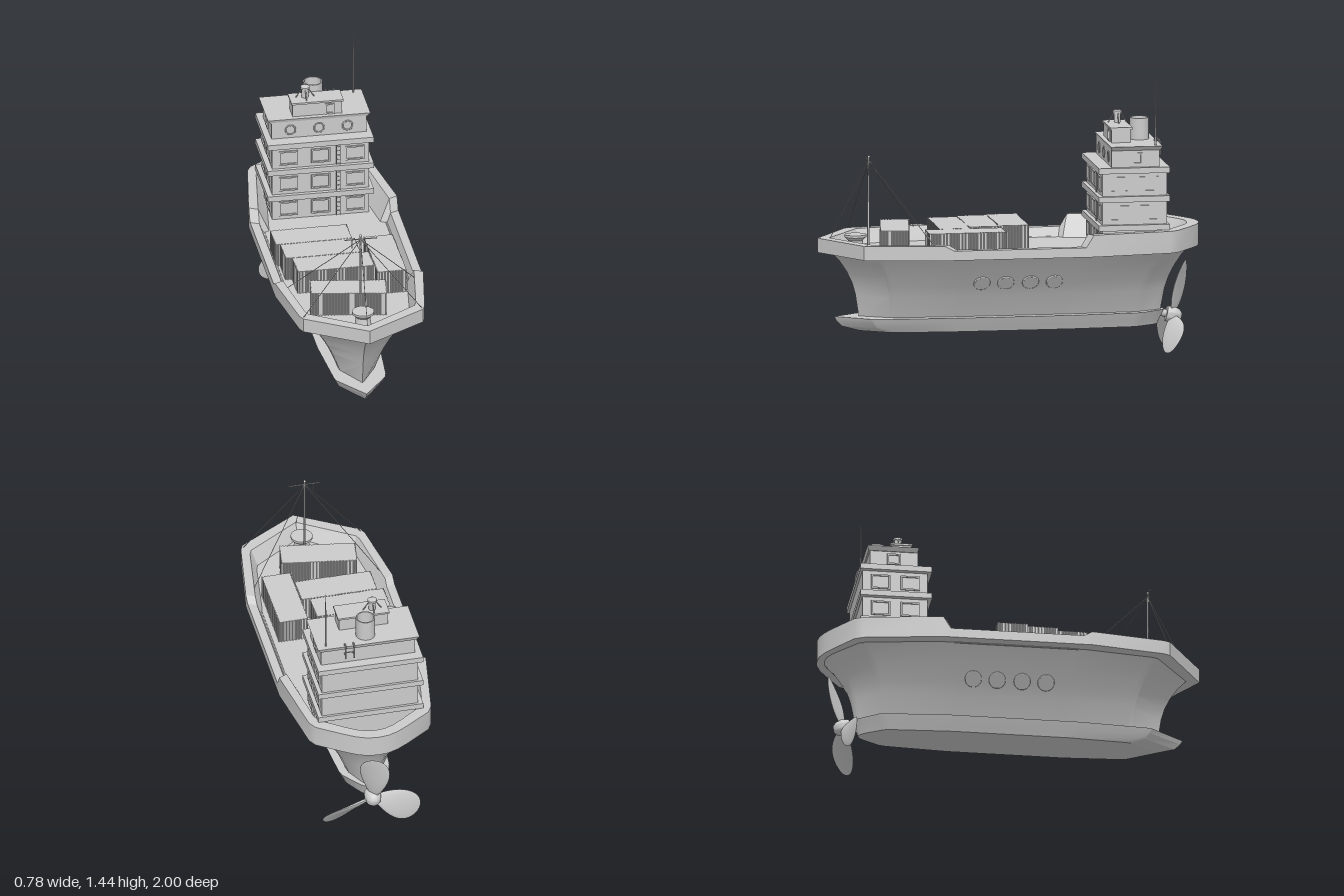
import * as THREE from 'three';
import { toCreasedNormals } from 'three/addons/utils/BufferGeometryUtils.js';

const V = (x, y, z) => new THREE.Vector3(x, y, z);
const DECK = 0.585;

export function createModel() {
  const model = new THREE.Group();
  const mat = new THREE.MeshStandardMaterial({ color: 0xcccccc, side: THREE.DoubleSide });

  const add = (name, geo, x = 0, y = 0, z = 0, parent = model) => {
    const m = new THREE.Mesh(geo, mat);
    m.name = name;
    m.position.set(x, y, z);
    parent.add(m);
    return m;
  };
  // box given by its limits
  const block = (name, x0, x1, y0, y1, z0, z1) =>
    add(name, new THREE.BoxGeometry(x1 - x0, y1 - y0, z1 - z0), (x0 + x1) / 2, (y0 + y1) / 2, (z0 + z1) / 2);
  // thin round bar between two points
  const bar = (name, a, b, r, parent = model) => {
    const d = b.clone().sub(a), mid = a.clone().add(b).multiplyScalar(0.5);
    const m = add(name, new THREE.CylinderGeometry(r, r, d.length(), 8), mid.x, mid.y, mid.z, parent);
    m.quaternion.setFromUnitVectors(V(0, 1, 0), d.normalize());
    return m;
  };

  // half plan of the ship from bow to stern, mirrored into a closed ring
  const half = [[0, 1], [0.315, 0.805], [0.33, 0.77], [0.39, 0.39], [0.39, 0.345], [0.39, -0.35], [0.39, -0.39],
    [0.325, -0.8], [0.3, -0.845], [0.17, -0.935], [0.11, -0.972], [0.055, -0.994], [0, -1]];
  const plan = [...half, ...half.slice(1, -1).reverse().map(([x, z]) => [-x, z])];
  const ring = (y, w, bow, stern) => plan.map(([x, z]) => V(x * w / 0.39, y, z * (z > 0 ? bow : stern)));
  const centre = (y) => plan.map(() => V(0, y, 0));
  const loft = (rings, crease = 0.5) => {
    const pos = [], tri = new THREE.Triangle();
    const face = (a, b, c) => {
      if (tri.set(a, b, c).getArea() > 1e-8) for (const p of [a, b, c]) pos.push(p.x, p.y, p.z);
    };
    for (let k = 0; k + 1 < rings.length; k++) {
      const a = rings[k], b = rings[k + 1];
      a.forEach((p, i) => {
        const j = (i + 1) % a.length;
        face(p, a[j], b[j]);
        face(p, b[j], b[i]);
      });
    }
    const g = new THREE.BufferGeometry();
    g.setAttribute('position', new THREE.Float32BufferAttribute(pos, 3));
    return toCreasedNormals(g, crease);
  };

  // hull, flaring up into a bulwark with a stepped rail around the sunken deck
  const rail = (z) => z > 0.36 ? 0.66 : z < -0.37 ? 0.7 : 0.635;
  const rim = (inset, height) => plan.map(([x, z]) => {
    const d = inset(z);
    return V(x * (1 - d / 0.39), height(z), z * (1 - 1.4 * d));
  });
  add('hull', loft([
    ring(0.24, 0.108, 0.782, 0.802), ring(0.36, 0.165, 0.8, 0.825), ring(0.42, 0.202, 0.817, 0.845),
    ring(0.48, 0.243, 0.845, 0.875), ring(0.54, 0.284, 0.885, 0.915), ring(0.588, 0.32, 0.93, 0.96),
    rim(() => 0, () => DECK), rim(() => 0, rail), rim(() => 0.045, rail),
    rim((z) => 0.04 + (rail(z) - DECK) * 0.5, () => DECK), centre(DECK),
  ]));
  add('keel', loft([
    centre(0.17), ring(0.17, 0.125, 0.78, 0.785), ring(0.195, 0.137, 0.87, 0.795),
    ring(0.225, 0.152, 0.9, 0.81), ring(0.247, 0.162, 0.912, 0.82), centre(0.247),
  ], 0.35));

  // portholes along both sides of the hull
  for (const s of [1, -1]) for (const z of [0.17, 0.045, -0.085, -0.21]) {
    const g = new THREE.Group();
    g.name = 'hullPorthole';
    g.position.set(s * 0.213, 0.435, z);
    g.rotation.z = -s * (Math.PI / 2 + 0.58);
    add('portholeGlass', new THREE.CylinderGeometry(0.038, 0.038, 0.01, 28), 0, 0, 0, g);
    add('portholeRing', new THREE.TorusGeometry(0.039, 0.005, 8, 28), 0, 0, 0, g).rotation.x = Math.PI / 2;
    model.add(g);
  }

  // containers with corrugated walls
  const container = (x, z, w, d, turn = 0) => {
    const pts = [], h = [w / 2, d / 2];
    const corners = [[-h[0], -h[1]], [h[0], -h[1]], [h[0], h[1]], [-h[0], h[1]]];
    corners.forEach(([ax, az], c) => {
      const [bx, bz] = corners[(c + 1) % 4], len = Math.hypot(bx - ax, bz - az);
      const ux = (bx - ax) / len, uz = (bz - az) / len, n = Math.round(len / 0.016);
      pts.push(new THREE.Vector2(ax, -az));
      for (let i = 0; i < n; i++) for (const [f, dep] of [[0.25, 0], [0.4, 0.006], [0.75, 0.006], [0.9, 0]]) {
        const t = len * (i + f) / n;
        pts.push(new THREE.Vector2(ax + ux * t - uz * dep, -(az + uz * t + ux * dep)));
      }
    });
    const g = new THREE.ExtrudeGeometry(new THREE.Shape(pts), { depth: 0.127, bevelEnabled: false });
    g.rotateX(-Math.PI / 2);
    add('container', g, x, DECK, z).rotation.y = turn;
  };
  container(-0.128, -0.02, 0.405, 0.16);
  container(-0.108, 0.14, 0.395, 0.16);
  container(-0.068, 0.3, 0.405, 0.16);
  container(0.213, 0.255, 0.155, 0.405);
  container(-0.04, 0.588, 0.395, 0.152, -0.165);

  // deckhouse tower with walkways between the floors
  block('deckhouse', -0.255, 0.255, DECK, 1.02, -0.795, -0.455);
  for (const y of [0.7, 0.85, 1.0]) block('walkway', -0.282, 0.276, y, y + 0.03, -0.808, -0.434);
  block('bridge', -0.25, 0.25, 1.02, 1.13, -0.755, -0.505);
  const roof = new THREE.BoxGeometry(0.54, 0.022, 0.272), rp = roof.attributes.position;
  for (let i = 0; i < rp.count; i++) if (rp.getY(i) < 0) rp.setXYZ(i, rp.getX(i) * 0.94, rp.getY(i), rp.getZ(i) * 0.94);
  roof.computeVertexNormals();
  add('bridgeRoof', roof, 0, 1.129, -0.635);

  // window frames on the front and sides
  const frame = (w, h) => {
    const rect = (T, a, b) => new T([[-a, -b], [a, -b], [a, b], [-a, b]].map(([x, y]) => new THREE.Vector2(x, y)));
    const s = rect(THREE.Shape, w / 2, h / 2);
    s.holes.push(rect(THREE.Path, w / 2 - 0.008, h / 2 - 0.008));
    return new THREE.ExtrudeGeometry(s, { depth: 0.007, bevelEnabled: false });
  };
  const pane = frame(0.1, 0.08);
  for (const y of [0.645, 0.79, 0.94]) {
    for (const x of [-0.17, 0, 0.18]) add('frontWindow', pane, x, y, -0.455);
    for (const s of [1, -1]) for (const z of [-0.545, -0.7]) add('sideWindow', pane, s * 0.255, y, z).rotation.y = s * Math.PI / 2;
  }
  for (const x of [-0.15, 0, 0.15]) add('bridgePorthole', new THREE.TorusGeometry(0.026, 0.004, 8, 24), x, 1.075, -0.505);
  const small = frame(0.07, 0.06);
  for (const s of [1, -1]) add('bridgeSideWindow', small, s * 0.25, 1.075, -0.63).rotation.y = s * Math.PI / 2;

  // ladder up the front of the tower
  for (const x of [0.082, 0.102]) bar('ladderRail', V(x, DECK, -0.449), V(x, 1.03, -0.449), 0.0025);
  for (let y = 0.61; y < 1.02; y += 0.025) bar('ladderRung', V(0.082, y, -0.449), V(0.102, y, -0.449), 0.002);

  // roof cabin, funnel, light mast, aerial and vent pipes
  block('roofCabin', -0.135, 0.125, 1.14, 1.212, -0.625, -0.525);
  block('roofCabinTop', -0.142, 0.132, 1.21, 1.22, -0.634, -0.518);
  add('roofCabinDoor', frame(0.05, 0.06), 0.06, 1.172, -0.525);
  const lathe = (pts, n = 32) => new THREE.LatheGeometry(pts.map(([r, y]) => new THREE.Vector2(r, y)), n);
  add('funnel', toCreasedNormals(lathe([[0.05, 0], [0.05, 0.115], [0.044, 0.115], [0.044, 0.03], [0, 0.03]]), 0.6), 0, 1.138, -0.69);
  add('lightMast', toCreasedNormals(lathe([[0.018, 0], [0.018, 0.05], [0.024, 0.05], [0.024, 0.06], [0.012, 0.066], [0, 0.066]], 20), 0.6), -0.06, 1.22, -0.585);
  for (let i = 0; i < 4; i++) {
    const a = i * Math.PI / 2, c = Math.cos(a), s = Math.sin(a);
    bar('lightMastLeg', V(-0.06 + 0.048 * c, 1.22, -0.585 + 0.048 * s), V(-0.06 + 0.016 * c, 1.27, -0.585 + 0.016 * s), 0.003);
  }
  add('aerial', new THREE.CylinderGeometry(0.002, 0.005, 0.337, 8), 0.222, 1.307, -0.74);
  for (const x of [0.08, 0.125]) {
    const path = new THREE.CatmullRomCurve3([V(x, 1.135, -0.755), V(x, 1.152, -0.762), V(x, 1.152, -0.775), V(x, 1.13, -0.781), V(x, 1.07, -0.781)]);
    add('ventPipe', new THREE.TubeGeometry(path, 20, 0.004, 8), 0, 0, 0);
    bar('ventPipeArm', V(x, 1.09, -0.755), V(x, 1.09, -0.781), 0.003);
  }
  bar('ventPipeLink', V(0.08, 1.11, -0.781), V(0.125, 1.11, -0.781), 0.003);

  // foremast with yard and rigging
  bar('foremast', V(0, DECK, 0.73), V(0, 1.085, 0.73), 0.005);
  bar('yard', V(-0.085, 1.06, 0.73), V(0.085, 1.06, 0.73), 0.003);
  bar('yardDrop', V(-0.045, 1.06, 0.73), V(-0.045, 1.01, 0.73), 0.002);
  add('mastBall', new THREE.SphereGeometry(0.007, 12, 8), 0, 1.08, 0.73);
  const stays = [[0, 0.935], [0.315, 0.79], [-0.315, 0.79], [0.335, 0.44], [-0.335, 0.44]];
  for (const [x, z] of stays) bar('stay', V(0, 1.058, 0.73), V(x, 0.655, z), 0.0018);

  // capstan on the foredeck
  add('capstan', toCreasedNormals(lathe([[0.05, 0], [0.042, 0.02], [0.038, 0.06], [0.057, 0.078], [0.057, 0.09], [0, 0.09]]), 0.5), 0, DECK, 0.8);

  // three-bladed propeller on a raked shaft
  const prop = new THREE.Group();
  prop.name = 'propeller';
  prop.position.set(0, 0.212, -0.865);
  prop.rotation.x = -0.235;
  model.add(prop);
  const hub = lathe([[0, -0.05], [0.02, -0.046], [0.036, -0.03], [0.044, 0], [0.04, 0.035], [0, 0.035]], 28);
  add('hub', toCreasedNormals(hub, 0.6), 0, 0, 0, prop).rotation.x = Math.PI / 2;
  bar('shaft', V(0, 0, 0), V(0, 0, 0.12), 0.02, prop);
  const blade = new THREE.SphereGeometry(1, 28, 24), bp = blade.attributes.position;
  for (let i = 0; i < bp.count; i++) {
    const t = (bp.getY(i) + 1) / 2, twist = 0.75 - 0.4 * t;
    const x = bp.getX(i) * (0.045 + 0.06 * t), z = bp.getZ(i) * (0.016 - 0.009 * t);
    bp.setXYZ(i, x * Math.cos(twist) - z * Math.sin(twist), 0.01 + 0.283 * t, x * Math.sin(twist) + z * Math.cos(twist));
  }
  blade.computeVertexNormals();
  for (let i = 0; i < 3; i++) add('blade', blade, 0, 0, 0, prop).rotation.z = i * Math.PI * 2 / 3;

  return model;
}
